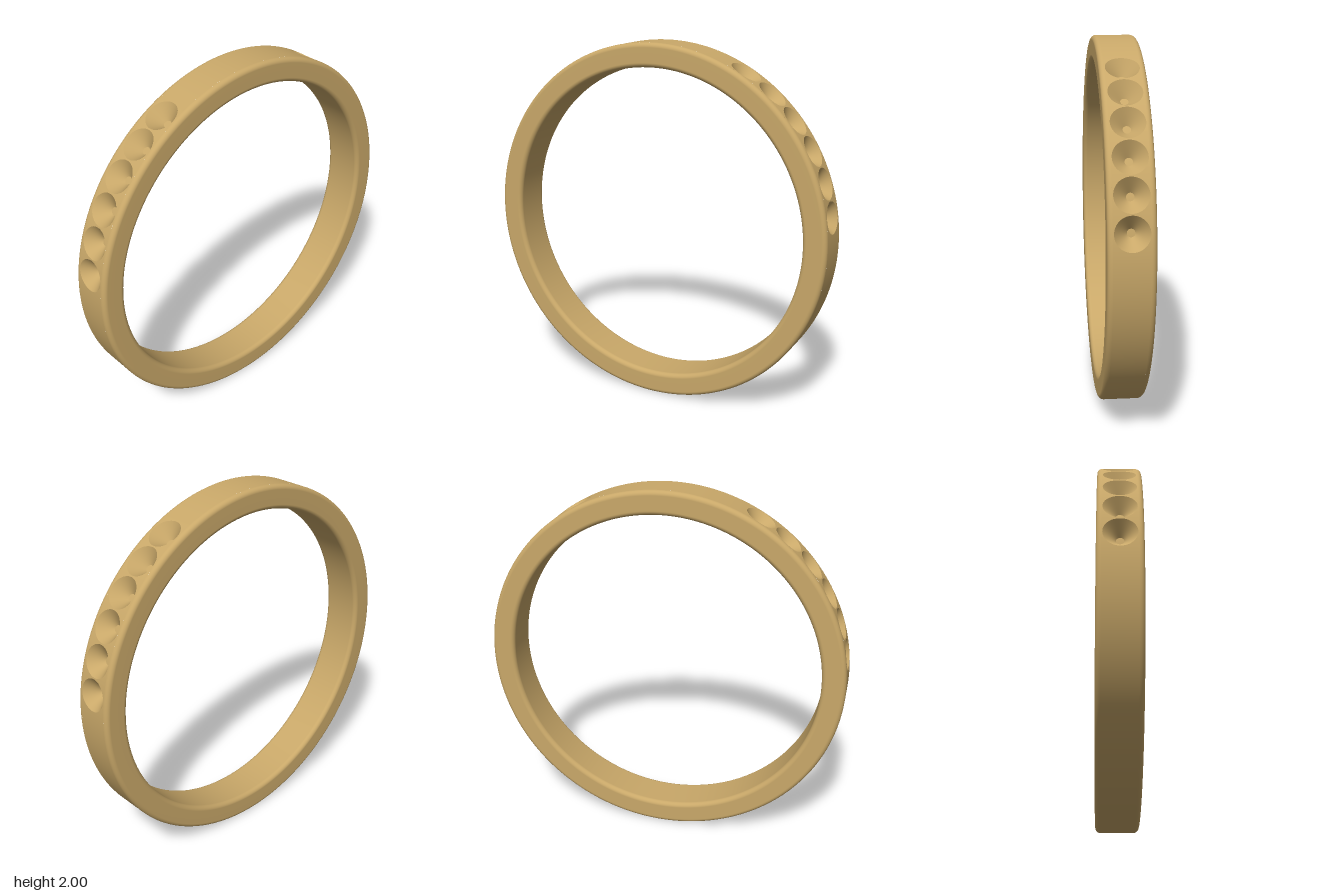
import * as THREE from 'three';

const R_OUT = 1, R_IN = 0.87, HALF_W = 0.115; // band radii and half width
const FLAT = 0.09;                            // half width of the outer face between fillets
const PIT_R = 0.085, PIT_FLOOR_R = 0.02, PIT_DEPTH = 0.07;
const PITS = 6, SIDES = 48;
const rad = THREE.MathUtils.degToRad;
const FIRST = rad(9.2), STEP = rad(10.2);

// Surface through closed loops of points, each loop SIDES long, facing +x
function loft(loops) {
  const index = [];
  for (let i = 0; i < loops.length - 1; i++) {
    for (let j = 0; j < SIDES; j++) {
      const a = i * SIDES + j, b = i * SIDES + (j + 1) % SIDES;
      index.push(a, b, a + SIDES, b, b + SIDES, a + SIDES);
    }
  }
  const geo = new THREE.BufferGeometry().setFromPoints(loops.flat());
  geo.setIndex(index);
  geo.computeVertexNormals();
  return geo;
}

const loop = (fn) => Array.from({ length: SIDES }, (_, j) => fn((j / SIDES) * Math.PI * 2));

// Point on the outer cylinder at angle s and width z
const onBand = (s, z) => new THREE.Vector3(R_OUT * Math.cos(s), R_OUT * Math.sin(s), z);

// Square patch of the outer face blending into the round rim of a pit
function skinGeometry() {
  const blend = (k) => loop((t) => {
    const c = Math.cos(t), n = Math.sin(t), m = Math.max(Math.abs(c), Math.abs(n));
    const s = THREE.MathUtils.lerp((c / m) * STEP / 2, Math.asin(PIT_R * c / R_OUT), k);
    const z = THREE.MathUtils.lerp((n / m) * FLAT, PIT_R * n, k);
    return onBand(s, z);
  });
  const geo = loft([blend(0), blend(0.5), blend(1)]);
  // exact cylinder normals
  const p = geo.attributes.position, normal = geo.attributes.normal;
  for (let i = 0; i < p.count; i++) normal.setXYZ(i, p.getX(i) / R_OUT, p.getY(i) / R_OUT, 0);
  return geo;
}

// Conical wall from the rim down to a small flat floor
function pitWallGeometry() {
  const ring = (k) => loop((t) => {
    const rim = onBand(Math.asin(PIT_R * Math.cos(t) / R_OUT), PIT_R * Math.sin(t));
    const floor = new THREE.Vector3(R_OUT - PIT_DEPTH, PIT_FLOOR_R * Math.cos(t), PIT_FLOOR_R * Math.sin(t));
    return rim.lerp(floor, k);
  });
  return loft([ring(0), ring(0.5), ring(1)]);
}

// Lathe about z; start angle measured from +x
function sweep(points, start, length, segments) {
  const pts = points.map(([r, z]) => new THREE.Vector2(r, z));
  return new THREE.LatheGeometry(pts, segments, start + Math.PI / 2, length).rotateX(Math.PI / 2);
}

export function createModel() {
  const group = new THREE.Group();
  const gold = new THREE.MeshStandardMaterial({ color: 0xc9a869 });
  const add = (parent, name, geo) => {
    const mesh = new THREE.Mesh(geo, gold);
    mesh.name = name;
    parent.add(mesh);
    return mesh;
  };
  const ring = new THREE.Group();
  ring.name = 'ring';
  ring.position.y = R_OUT;
  group.add(ring);

  // Sides, fillets and inner face
  const f = HALF_W - FLAT, profile = [];
  const fillet = (r, z, from) => {
    for (let i = 0; i <= 8; i++) {
      const a = from + (i / 8) * Math.PI / 2;
      profile.push([r + f * Math.cos(a), z + f * Math.sin(a)]);
    }
  };
  fillet(R_OUT - f, FLAT, 0);
  fillet(R_IN + f, FLAT, Math.PI / 2);
  fillet(R_IN + f, -FLAT, Math.PI);
  fillet(R_OUT - f, -FLAT, Math.PI * 1.5);
  add(ring, 'bandSidesAndInside', sweep(profile, 0, Math.PI * 2, 192));

  // Plain arcs of the outer face above and below the two rows of pits
  const low = FIRST - STEP / 2, high = low + PITS * STEP;
  const strip = [[R_OUT, -FLAT], [R_OUT, FLAT]];
  add(ring, 'outerFaceTop', sweep(strip, high, Math.PI - 2 * high, 40));
  add(ring, 'outerFaceBottom', sweep(strip, Math.PI - low, Math.PI + 2 * low, 110));

  // Rows of stone seats, mirrored left and right
  const skin = skinGeometry(), wall = pitWallGeometry();
  const floor = new THREE.CircleGeometry(PIT_FLOOR_R, SIDES)
    .rotateY(Math.PI / 2).translate(R_OUT - PIT_DEPTH, 0, 0);
  for (const side of ['left', 'right']) {
    for (let i = 0; i < PITS; i++) {
      const angle = FIRST + i * STEP;
      const seat = new THREE.Group();
      seat.name = `${side}StoneSeat${i + 1}`;
      seat.rotation.z = side === 'left' ? angle : Math.PI - angle;
      add(seat, 'seatSurround', skin);
      add(seat, 'seatCone', wall);
      add(seat, 'seatFloor', floor);
      ring.add(seat);
    }
  }
  return group;
}
